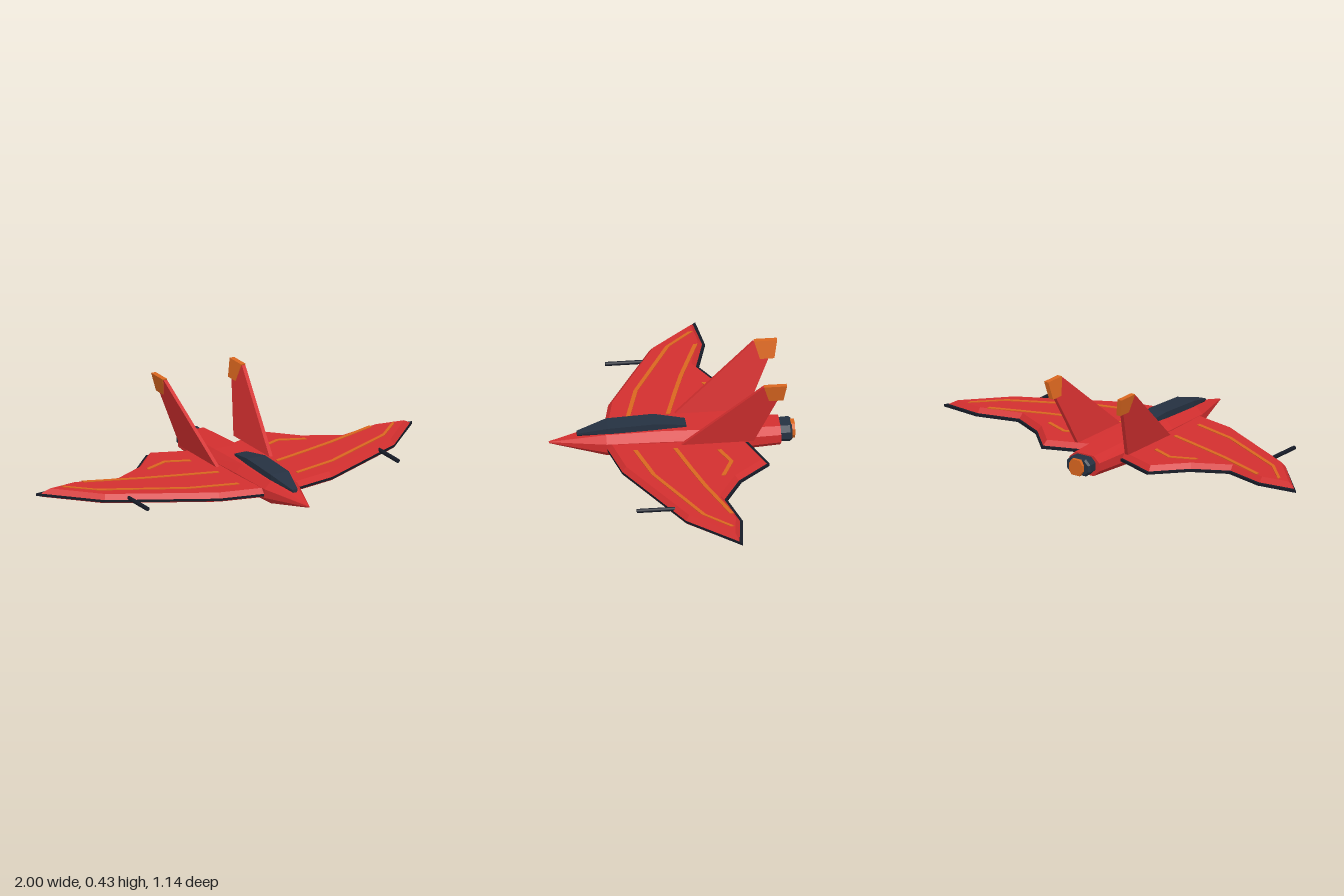
import * as THREE from 'three';

const paint = (name, color, extra = {}) => Object.assign(new THREE.MeshStandardMaterial({ color, ...extra }), { name });

// Skin a list of equal-length rings of [x, y, z]; (u, v) are the axes the end caps lie in.
function loft(rings, u, v) {
  const tris = [];
  const n = rings[0].length;
  for (let k = 0; k < rings.length - 1; k++) {
    for (let i = 0; i < n; i++) {
      const j = (i + 1) % n;
      const [a, b, c, d] = [rings[k][i], rings[k][j], rings[k + 1][j], rings[k + 1][i]];
      tris.push([a, b, c], [a, c, d]);
    }
  }
  const cap = (ring, reverse) => {
    const flat = ring.map((p) => new THREE.Vector2(p[u], p[v]));
    const clockwise = THREE.ShapeUtils.isClockWise(flat);
    for (const [a, b, c] of THREE.ShapeUtils.triangulateShape(flat, [])) {
      const same = THREE.ShapeUtils.isClockWise([flat[a], flat[b], flat[c]]) === clockwise;
      tris.push(same !== reverse ? [ring[a], ring[b], ring[c]] : [ring[a], ring[c], ring[b]]);
    }
  };
  cap(rings[0], true);
  cap(rings[rings.length - 1], false);

  // Turn the solid outward if its signed volume is negative.
  let volume = 0;
  for (const [a, b, c] of tris) {
    const [A, B, C] = [a, b, c].map((p) => new THREE.Vector3(...p));
    volume += A.dot(B.cross(C));
  }
  if (volume < 0) tris.forEach((t) => t.reverse());
  const geo = new THREE.BufferGeometry();
  geo.setAttribute('position', new THREE.Float32BufferAttribute(tris.flat(2), 3));
  geo.computeVertexNormals();
  return geo;
}

// Mitred inward offset of an [x, z] outline that runs clockwise in the x-z plane.
function inset(outline, d) {
  const n = outline.length;
  const sign = THREE.ShapeUtils.area(outline.map((p) => new THREE.Vector2(...p))) > 0 ? 1 : -1;
  return outline.map((p, i) => {
    const P = new THREE.Vector2(...p);
    const e1 = P.clone().sub(new THREE.Vector2(...outline[(i + n - 1) % n])).normalize();
    const e2 = new THREE.Vector2(...outline[(i + 1) % n]).sub(P).normalize();
    const n1 = new THREE.Vector2(-e1.y, e1.x), n2 = new THREE.Vector2(-e2.y, e2.x);
    const m = n1.clone().add(n2);
    return P.addScaledVector(m, (sign * d) / (1 + n1.dot(n2))).toArray();
  });
}

// Eight-sided cross-section.
function octagon(z, hw, y0, y1) {
  const cy = (y0 + y1) / 2, hh = (y1 - y0) / 2;
  const a = hw * 0.62, b = hh * 0.4;
  return [[hw, b], [a, hh], [-a, hh], [-hw, b], [-hw, -b], [-a, -hh], [a, -hh], [hw, -b]]
    .map(([x, y]) => [x, cy + y, z]);
}

export function createModel() {
  const model = new THREE.Group();
  model.name = 'jet';
  const red = paint('red', 0xd32f2f);
  const navy = paint('navy', 0x253141);
  const black = paint('black', 0x161b27);
  const orange = paint('orange', 0xd9661f);
  const add = (name, geo, mat) => {
    const mesh = new THREE.Mesh(geo, mat);
    mesh.name = name;
    model.add(mesh);
    return mesh;
  };

  // Fuselage from pointed nose to tail
  add('fuselage', loft([
    octagon(0.57, 0.003, 0.061, 0.069),
    octagon(0.31, 0.088, 0.012, 0.118),
    octagon(0.06, 0.1, 0.006, 0.127),
    octagon(-0.2, 0.102, 0, 0.122),
    octagon(-0.5, 0.085, 0.015, 0.113),
  ], 0, 1), red);

  // Flat-topped canopy
  const canopyRing = ([z, hw, top]) => {
    const mid = 0.1 + (top - 0.1) * 0.4;
    return [[hw, top], [-hw, top], [-hw, mid], [-hw * 0.6, 0.095], [hw * 0.6, 0.095], [hw, mid]]
      .map(([x, y]) => [x, y, z]);
  };
  add('canopy', loft([[0.44, 0.014, 0.11], [0.3, 0.048, 0.147], [0.08, 0.048, 0.157], [-0.065, 0.032, 0.135]]
    .map(canopyRing), 0, 1), navy);

  // Engine nozzle and exhaust
  add('nozzle', loft([
    octagon(-0.47, 0.062, 0.026, 0.106),
    octagon(-0.545, 0.067, 0.024, 0.108),
    octagon(-0.555, 0.06, 0.03, 0.102),
  ], 0, 1), navy);
  add('exhaust', loft([octagon(-0.54, 0.037, 0.028, 0.104), octagon(-0.57, 0.037, 0.028, 0.104)], 0, 1), orange);

  // Wing plan, [x, z]; the last six points form the tip and trailing edge
  const plan = [[0.04, 0.315], [0.1, 0.305], [0.3, 0.262], [0.77, 0.018],
    [1, -0.22], [0.8, -0.243], [0.6, -0.192], [0.437, -0.277], [0.3, -0.422], [0.04, -0.325]];
  const panel = plan.map(([x, z], i) => (i < 4 ? [x, z] : [x - (i === 4 ? 0.018 : 0), z + 0.013]));
  const stripes = [
    [[0.155, 0.185], [0.38, 0.125], [0.76, -0.065], [0.88, -0.185]],
    [[0.155, 0], [0.35, -0.055], [0.5, -0.1], [0.765, -0.195]],
    [[0.19, -0.2], [0.3, -0.245], [0.42, -0.195]],
  ];
  // Fin profiles, [z, y]
  const finPlan = [[-0.03, 0.1], [-0.365, 0.1], [-0.505, 0.42], [-0.4, 0.42]];
  const tipPlan = [[-0.43, 0.34], [-0.497, 0.34], [-0.512, 0.425], [-0.405, 0.425]];

  for (const [side, s] of [['left', 1], ['right', -1]]) {
    const layer = (outline, y) => outline.map(([x, z]) => [s * x, y, z]);

    // Wing: dark rim between a bevelled upper panel and a thin lower panel
    add(side + 'WingRim', loft([layer(plan, 0.051), layer(plan, 0.063)], 0, 2), black);
    add(side + 'WingTop', loft([layer(panel, 0.063), layer(inset(panel, 0.02), 0.086)], 0, 2), red);
    add(side + 'WingUnderside', loft([layer(panel, 0.052), layer(inset(panel, 0.003), 0.047)], 0, 2), red);

    // Painted wing stripes
    for (const line of stripes) {
      const ribbon = [...line.map(([x, z]) => [x, z + 0.01]), ...line.map(([x, z]) => [x, z - 0.01]).reverse()];
      add(side + 'WingStripe', loft([layer(ribbon, 0.085), layer(ribbon, 0.089)], 0, 2), orange);
    }

    // Outward-leaning tail fin with a coloured tip
    const slab = (profile, half) => loft([-half, half].map((o) =>
      profile.map(([z, y]) => [s * (0.142 + (y - 0.1) * 0.205 + o), y, z])), 2, 1);
    add(side + 'Fin', slab(finPlan, 0.009), red);
    add(side + 'FinTip', slab(tipPlan, 0.012), orange);

    // Wing gun
    const gun = add(side + 'Gun', new THREE.CylinderGeometry(0.01, 0.01, 0.18, 8).rotateX(Math.PI / 2), black);
    gun.position.set(s * 0.665, 0.068, 0.145);
  }
  return model;
}
